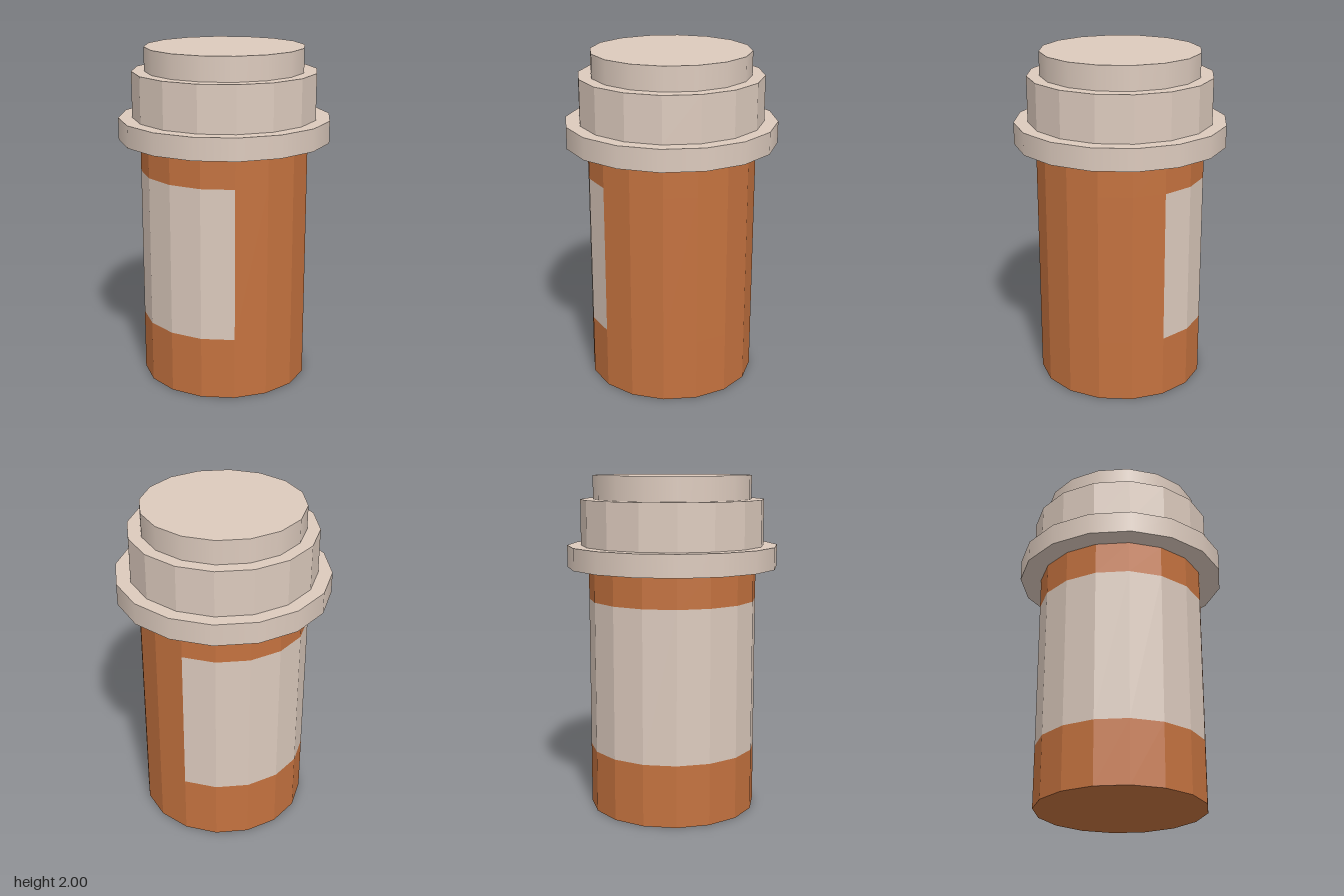
import * as THREE from 'three';

const SIDES = 16;
const STEP = (Math.PI * 2) / SIDES;

export function createModel() {
  const model = new THREE.Group();
  model.name = 'pillBottle';

  const amber = new THREE.MeshStandardMaterial({ color: 0xc4723f, flatShading: true, side: THREE.DoubleSide });
  const paper = new THREE.MeshStandardMaterial({ color: 0xdccabd, flatShading: true, side: THREE.DoubleSide });
  const capFlat = new THREE.MeshStandardMaterial({ color: 0xdccabd, flatShading: true });
  const capSmooth = new THREE.MeshStandardMaterial({ color: 0xdccabd });

  // Solid 16-sided disc between two heights
  function disc(name, radius, y0, y1, material) {
    const mesh = new THREE.Mesh(new THREE.CylinderGeometry(radius, radius, y1 - y0, SIDES), material);
    mesh.position.y = (y0 + y1) / 2;
    mesh.name = name;
    model.add(mesh);
  }

  // Open wall covering some of the 16 facets, counted from the front (+z) towards +x
  function wall(name, y0, y1, firstFacet, facets, material) {
    const geometry = new THREE.CylinderGeometry(
      0.5, 0.5, y1 - y0, facets, 1, true, firstFacet * STEP, facets * STEP);
    const mesh = new THREE.Mesh(geometry, material);
    mesh.position.y = (y0 + y1) / 2;
    mesh.name = name;
    model.add(mesh);
  }

  // Bottle: walls below, beside and above the flush label
  wall('bottleLower', 0, 0.37, 0, SIDES, amber);
  wall('bottleMiddle', 0.37, 1.27, -1, 6, amber);
  wall('label', 0.37, 1.27, 5, 10, paper);
  wall('bottleUpper', 1.27, 1.46, 0, SIDES, amber);

  // Bottle base, facing down
  const base = new THREE.Mesh(new THREE.CircleGeometry(0.5, SIDES), amber);
  base.rotation.x = Math.PI / 2;
  base.name = 'bottleBase';
  model.add(base);

  // Stepped cap
  disc('capRim', 0.627, 1.46, 1.59, capSmooth);
  disc('capGrip', 0.545, 1.59, 1.86, capFlat);
  disc('capTop', 0.47, 1.86, 2, capSmooth);

  return model;
}
